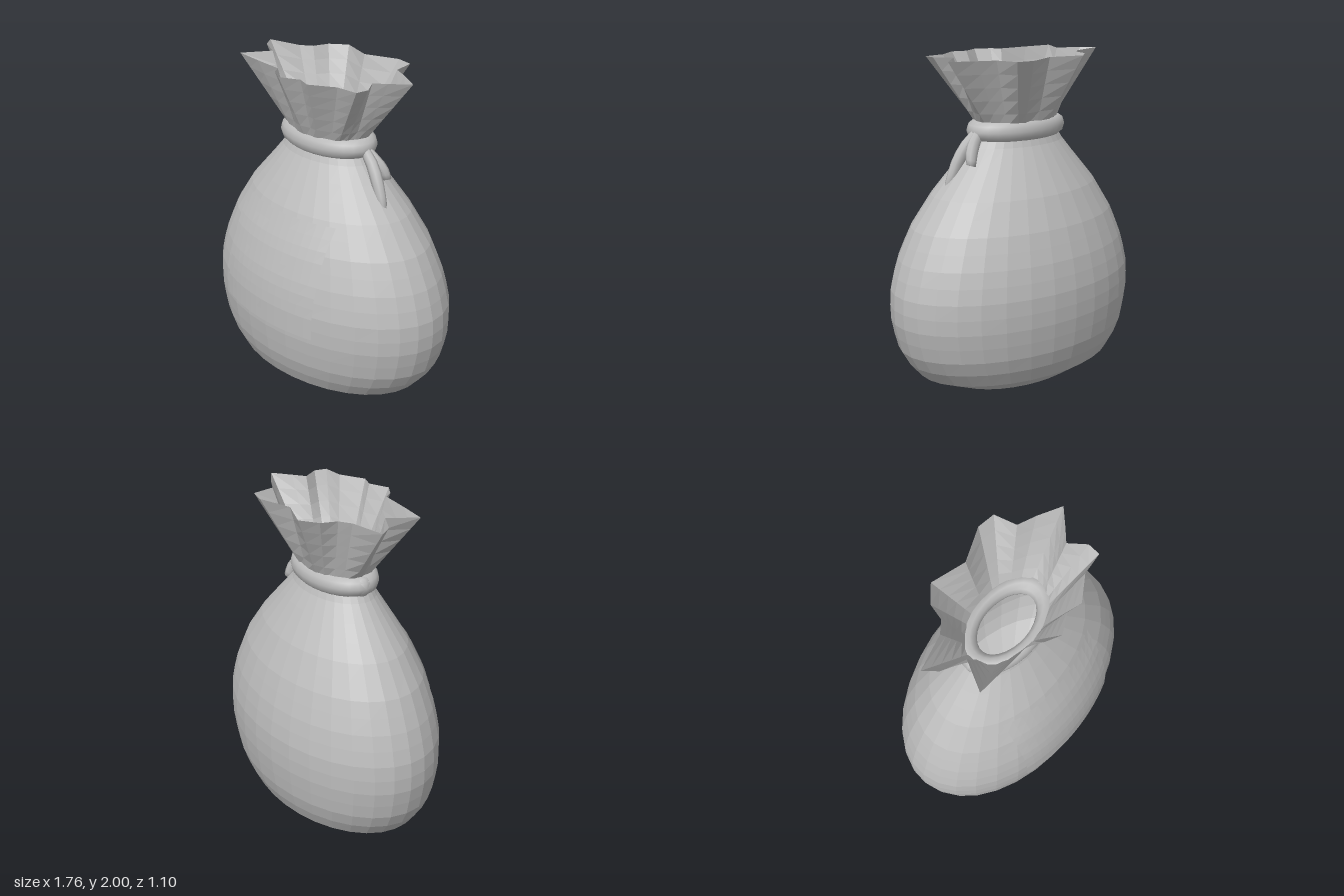
import * as THREE from 'three';
import { mergeVertices } from 'three/addons/utils/BufferGeometryUtils.js';

const cloth = new THREE.MeshStandardMaterial({ color: 0xbcbcbc, side: THREE.DoubleSide });
cloth.name = 'grey cloth';

// Skin equal-length rows of points; faceted unless smooth is set
function loft(rows, closed, smooth = false) {
  const n = rows[0].length, index = [];
  for (let i = 0; i < rows.length - 1; i++) {
    for (let j = 0; j < (closed ? n : n - 1); j++) {
      const k = (j + 1) % n, a = i * n + j, b = i * n + k, c = a + n, d = b + n;
      index.push(a, b, d, a, d, c);
    }
  }
  let geo = new THREE.BufferGeometry().setFromPoints(rows.flat());
  geo.setIndex(index);
  if (!smooth) geo = geo.toNonIndexed();
  geo.computeVertexNormals();
  return geo;
}

// Sack profile: height, half width, half depth, sideways offset
const profile = [
  [0.1, 0.71, 0.45, -0.022], [0.19, 0.785, 0.493, -0.015], [0.3, 0.845, 0.527, -0.008],
  [0.5, 0.883, 0.55, -0.002], [0.65, 0.872, 0.546, 0], [0.8, 0.832, 0.523, 0],
  [1.0, 0.74, 0.462, -0.005], [1.2, 0.595, 0.37, -0.015], [1.4, 0.405, 0.25, -0.022],
  [1.5, 0.315, 0.188, -0.027], [1.56, 0.28, 0.168, -0.027],
];

function sectionAt(y) {
  let i = 0;
  while (i < profile.length - 2 && y > profile[i + 1][0]) i++;
  const p = profile[i], q = profile[i + 1], t = (y - p[0]) / (q[0] - p[0]);
  return p.map((v, k) => v + (q[k] - v) * t);
}

function ellipseRow([y, rx, rz, cx], count = 32) {
  return Array.from({ length: count }, (_, j) => {
    const a = (j / count) * Math.PI * 2;
    return new THREE.Vector3(cx + rx * Math.sin(a), y, rz * Math.cos(a));
  });
}

// Pleated rim outline as x, z pairs
const rim = [
  [-0.65, -0.08], [-0.43, -0.13], [-0.36, -0.18], [-0.33, -0.28], [-0.23, -0.36],
  [-0.02, -0.29], [0.19, -0.37], [0.3, -0.35], [0.33, -0.21], [0.44, -0.16],
  [0.58, -0.08], [0.48, 0.01], [0.41, 0.07], [0.48, 0.17], [0.47, 0.25],
  [0.33, 0.26], [0.18, 0.35], [0.09, 0.32], [-0.03, 0.38], [-0.12, 0.33],
  [-0.16, 0.275], [-0.36, 0.26], [-0.55, 0.24], [-0.45, 0.07], [-0.59, 0],
].reverse();

// Tapered cord end following a curve, flattened front to back
function tail(points) {
  const curve = new THREE.CatmullRomCurve3(points.map((p) => new THREE.Vector3(...p)));
  const rows = [];
  for (let i = 0; i <= 6; i++) {
    const t = i / 6, c = curve.getPoint(t), d = curve.getTangent(t);
    const side = new THREE.Vector3(0, 0, 1), out = new THREE.Vector3().crossVectors(side, d).normalize();
    const w = 0.03 + 0.012 * Math.sin(t * Math.PI);
    rows.push(Array.from({ length: 8 }, (_, j) => {
      const a = (j / 8) * Math.PI * 2;
      return c.clone().addScaledVector(out, w * Math.cos(a)).addScaledVector(side, w * 0.8 * Math.sin(a));
    }));
  }
  // Close the free end
  const end = rows[6][0].clone().add(rows[6][4]).multiplyScalar(0.5);
  rows.push(rows[6].map(() => end.clone()));
  return loft(rows, true, true);
}

export function createModel() {
  const model = new THREE.Group();
  model.name = 'tiedSack';
  const add = (name, geo) => {
    const mesh = new THREE.Mesh(geo, cloth);
    mesh.name = name;
    model.add(mesh);
    return mesh;
  };

  // Sack body, open underneath
  const bodyRows = [ellipseRow([0, 0.475, 0.3, -0.025])];
  for (let i = 0; i <= 16; i++) bodyRows.push(ellipseRow(sectionAt(0.1 + (1.46 * i) / 16)));
  add('sackBody', loft(bodyRows, true));

  // Flared, pleated mouth
  const mouthRows = [];
  for (let i = 0; i <= 5; i++) {
    const t = i / 5;
    mouthRows.push(rim.map(([x, z]) => {
      const a = Math.atan2((x + 0.03) / 0.6, z / 0.35);
      const cx = -0.027 + 0.285 * Math.sin(a), cz = 0.185 * Math.cos(a);
      return new THREE.Vector3(cx + (x - cx) * t, 1.59 + 0.41 * t, cz + (z - cz) * t);
    }));
  }
  add('pleatedMouth', loft(mouthRows, true));

  // Cord round the neck
  const ring = new THREE.TorusGeometry(0.288, 0.07, 10, 28);
  ring.rotateX(Math.PI / 2);
  ring.scale(1, 0.88, 0.61);
  ring.deleteAttribute('uv');
  ring.deleteAttribute('normal');
  const cord = mergeVertices(ring);
  cord.computeVertexNormals();
  add('neckCord', cord).position.set(-0.027, 1.56, 0);
  // Pinched bulges at the cord's ends
  for (const x of [-0.335, 0.27]) {
    const bulge = add('cordBulge', new THREE.SphereGeometry(0.06, 8, 6));
    bulge.scale.set(0.85, 1, 1);
    bulge.position.set(x, 1.56, 0);
  }

  // Hanging cord ends
  add('longCordEnd', tail([[0.27, 1.57, 0.005], [0.36, 1.49, 0.015], [0.43, 1.38, 0.03], [0.485, 1.25, 0.04]]));
  add('shortCordEnd', tail([[0.27, 1.57, -0.005], [0.34, 1.5, -0.025], [0.385, 1.44, -0.05], [0.405, 1.38, -0.07]]));

  // Patch lying on the front
  const patchRows = [];
  for (let i = 0; i <= 10; i++) {
    const y = 0.5 + 0.067 * i, [, rx, rz, cx] = sectionAt(y);
    patchRows.push(Array.from({ length: 15 }, (_, j) => {
      const x = -0.43 + (0.8 * j) / 14;
      return new THREE.Vector3(x, y, rz * Math.sqrt(1 - ((x - cx) / rx) ** 2) + 0.006);
    }));
  }
  add('frontPatch', loft(patchRows, false));

  return model;
}
